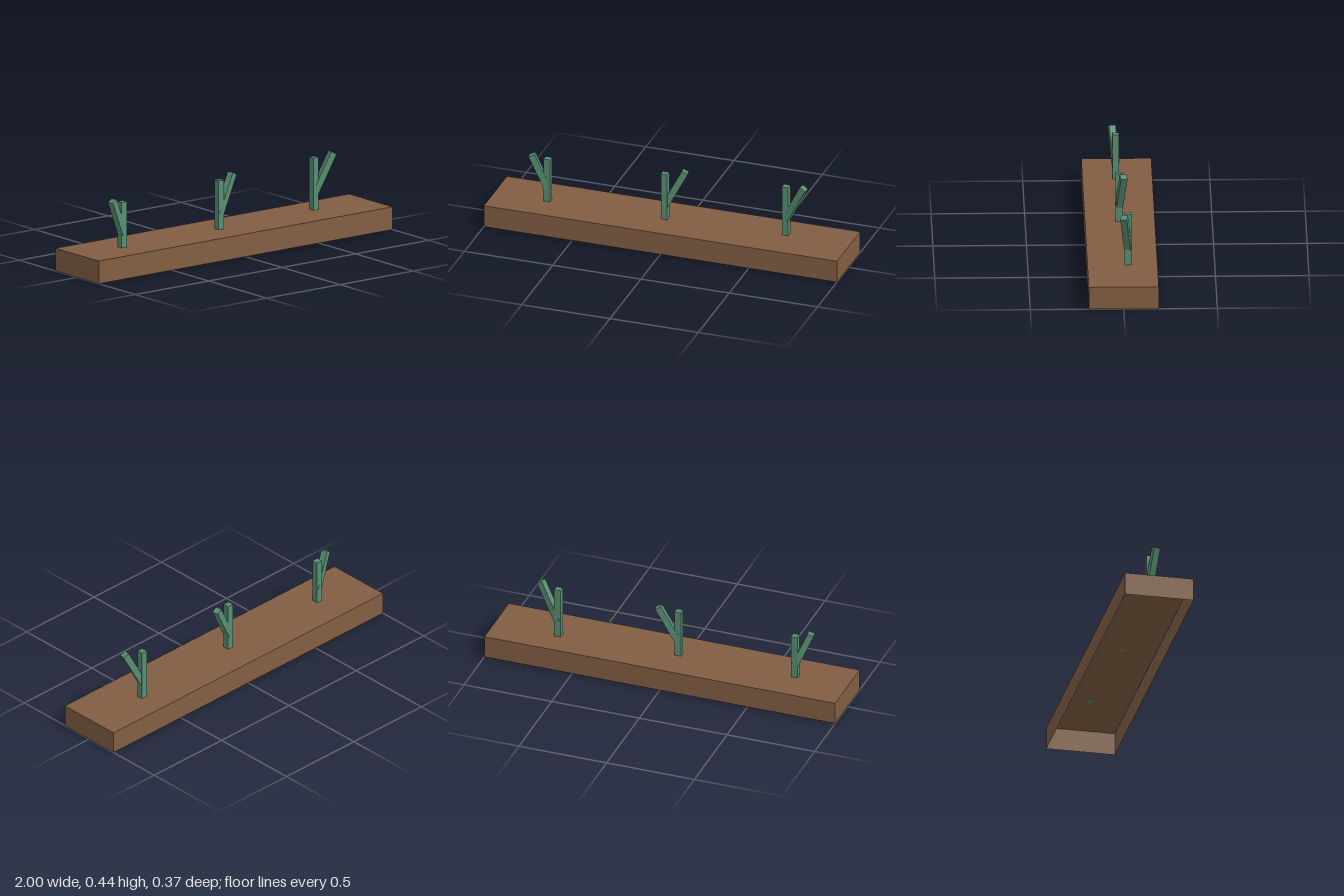
import * as THREE from 'three';

const BASE_HEIGHT = 0.125;
const STEM = 0.036;

export function createModel() {
  const soil = new THREE.MeshStandardMaterial({ color: 0x825e43, side: THREE.DoubleSide });
  soil.name = 'earthBrown';
  const green = new THREE.MeshStandardMaterial({ color: 0x588e72 });
  green.name = 'cactusGreen';

  const model = new THREE.Group();
  model.name = 'cactusGround';

  // Hollow ground slab: top and four walls, open underneath
  const slab = new THREE.BoxGeometry(2, BASE_HEIGHT, 0.374);
  const index = Array.from(slab.index.array);
  index.splice(18, 6); // remove the bottom face
  slab.setIndex(index);
  slab.clearGroups();
  slab.translate(0, BASE_HEIGHT / 2, 0);
  const ground = new THREE.Mesh(slab, soil);
  ground.name = 'ground';
  model.add(ground);

  // Square post standing on its lower end
  const post = (name, length) => {
    const geometry = new THREE.BoxGeometry(STEM, length, STEM);
    geometry.translate(0, length / 2, 0);
    const mesh = new THREE.Mesh(geometry, green);
    mesh.name = name;
    return mesh;
  };

  // Each cactus: trunk centre, trunk top, branch start height, branch tip
  const cacti = [
    { name: 'rightCactus', x: -0.7, z: 0.009, top: 0.375, fork: 0.2, tip: [-0.783, 0.393, 0.029] },
    { name: 'middleCactus', x: -0.037, z: 0.005, top: 0.394, fork: 0.206, tip: [0.07, 0.411, -0.018] },
    { name: 'leftCactus', x: 0.636, z: -0.03, top: 0.412, fork: 0.214, tip: [0.745, 0.427, -0.007] },
  ];

  for (const { name, x, z, top, fork, tip } of cacti) {
    const cactus = new THREE.Group();
    cactus.name = name;
    cactus.position.set(x, 0, z);

    const trunk = post('trunk', top - BASE_HEIGHT);
    trunk.position.y = BASE_HEIGHT;

    // Branch leans away from the trunk, then turns about the vertical
    const dx = tip[0] - x, dy = tip[1] - fork, dz = tip[2] - z;
    const branch = post('branch', Math.hypot(dx, dy, dz));
    branch.position.y = fork;
    branch.rotation.order = 'YXZ';
    branch.rotation.set(0, Math.atan2(-dz, dx), -Math.atan2(Math.hypot(dx, dz), dy));

    cactus.add(trunk, branch);
    model.add(cactus);
  }

  return model;
}
